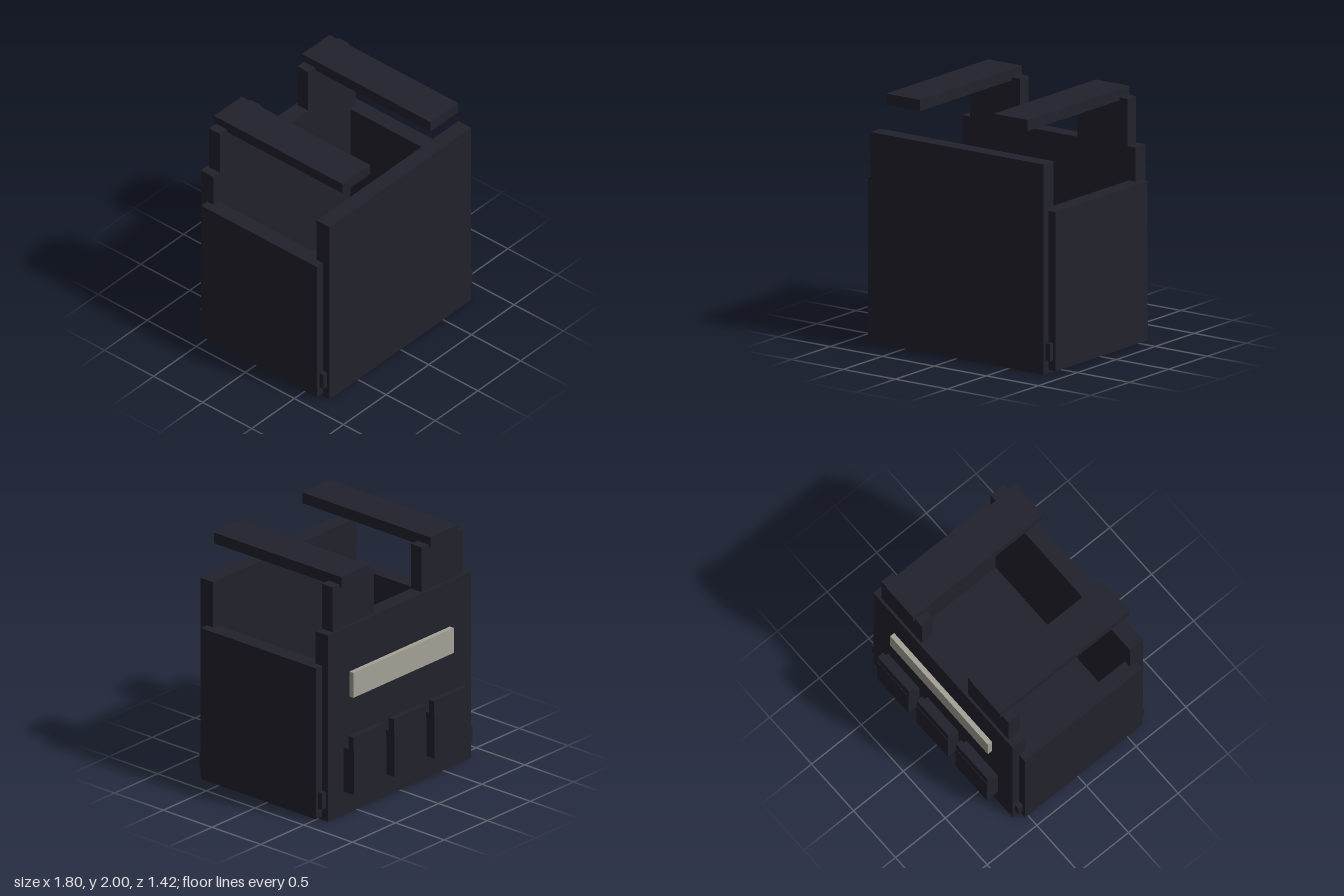
import * as THREE from 'three';

export function createModel() {
  const model = new THREE.Group();
  model.name = 'carrierVest';

  const fabric = new THREE.MeshStandardMaterial({ color: 0x22222c });
  fabric.name = 'dark fabric';
  const label = new THREE.MeshStandardMaterial({ color: 0xa4a296 });
  label.name = 'pale grey plate';

  // Box given by its extents along each axis
  function box(name, [x0, x1], [y0, y1], [z0, z1], material = fabric) {
    const mesh = new THREE.Mesh(new THREE.BoxGeometry(x1 - x0, y1 - y0, z1 - z0), material);
    mesh.position.set((x0 + x1) / 2, (y0 + y1) / 2, (z0 + z1) / 2);
    mesh.name = name;
    model.add(mesh);
    return mesh;
  }

  // Box repeated on the left (+x) and right (-x)
  function pair(name, [x0, x1], y, z) {
    box(name + 'Left', [x0, x1], y, z);
    box(name + 'Right', [-x1, -x0], y, z);
  }

  // Main panels and the recessed floor
  box('frontPanel', [-0.83, 0.83], [0, 1.67], [0.58, 0.71]);
  box('backPanel', [-0.83, 0.83], [0, 1.56], [-0.6, -0.47]);
  pair('sidePanel', [0.77, 0.9], [0.025, 1.29], [-0.535, 0.645]);
  box('floor', [-0.78, 0.78], [0.1, 0.17], [-0.48, 0.59]);

  // Corner buckles low on each side
  pair('frontBuckle', [0.78, 0.873], [0.11, 0.245], [0.6, 0.685]);
  pair('backBuckle', [0.78, 0.873], [0.11, 0.245], [-0.577, -0.49]);

  // Shoulder supports and straps
  pair('shoulderSupport', [0.277, 0.757], [1.56, 1.935], [-0.58, -0.47]);
  pair('shoulderStrap', [0.355, 0.677], [1.91, 2], [-0.6, 0.71]);

  // Back pouches with raised flaps
  for (const x of [-0.467, 0, 0.467]) {
    const span = [x - 0.187, x + 0.187];
    box('pouch', span, [0.2, 0.57], [-0.71, -0.6]);
    box('pouchFlap', span, [0.57, 0.68], [-0.706, -0.652]);
  }

  // Blank plate across the upper back
  box('backPlate', [-0.582, 0.582], [0.97, 1.18], [-0.64, -0.6], label);

  return model;
}
